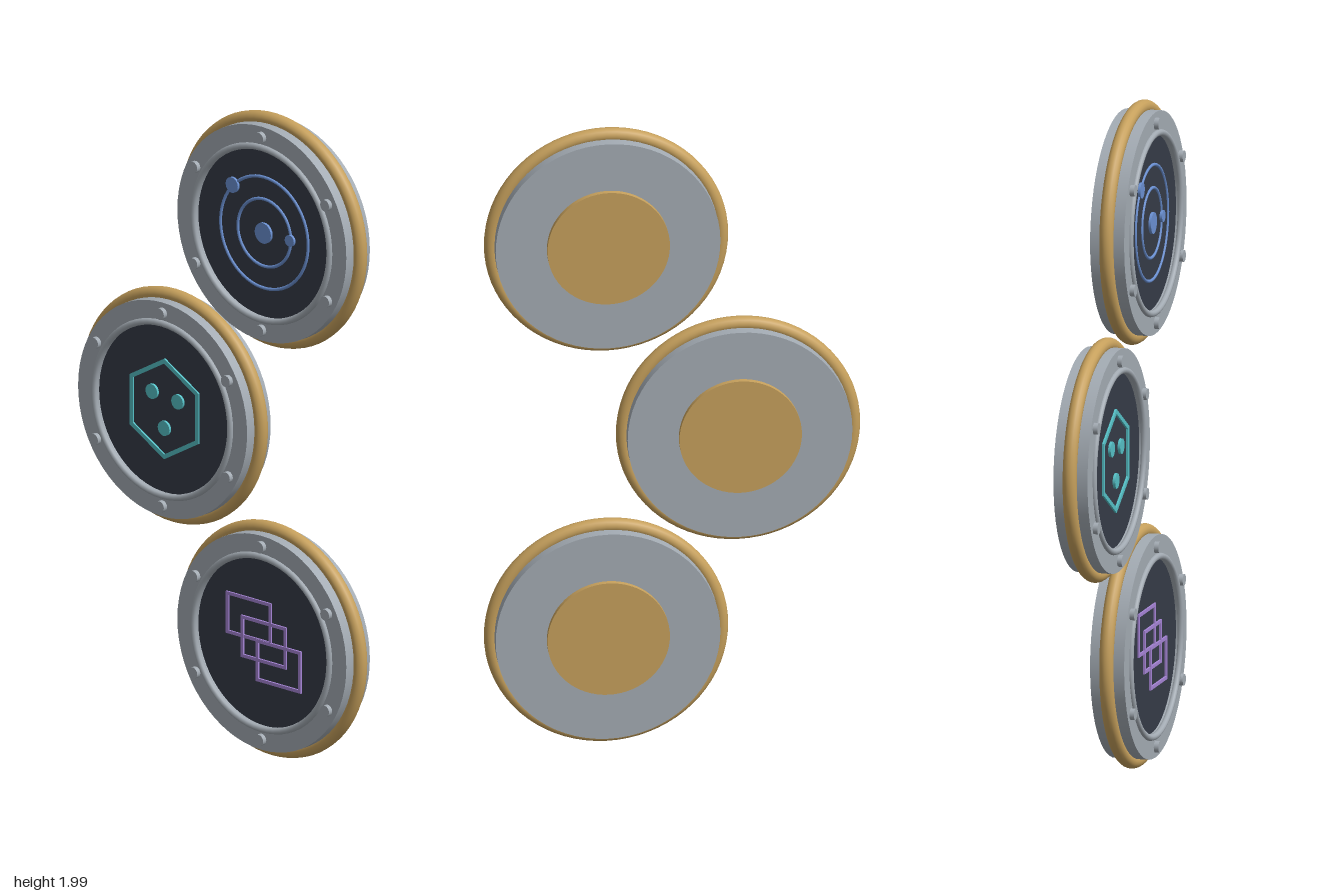
import * as THREE from 'three';
import { toCreasedNormals } from 'three/addons/utils/BufferGeometryUtils.js';

const material = (name, color) => {
  const m = new THREE.MeshStandardMaterial({ color });
  m.name = name;
  return m;
};

export function createModel() {
  const steel = material('steel', 0xa3abb3);
  const brass = material('brass', 0xc6a05c);
  const slate = material('dark slate', 0x353b47);
  const blue = material('blue', 0x6a90d2);
  const teal = material('teal', 0x55c0c6);
  const violet = material('violet', 0xa684d6);

  const PANEL_Z = 0.04;
  const LINE = 0.006;

  const add = (parent, name, geometry, mat, x = 0, y = 0, z = 0) => {
    const mesh = new THREE.Mesh(geometry, mat);
    mesh.name = name;
    mesh.position.set(x, y, z);
    parent.add(mesh);
    return mesh;
  };

  // Cylinder whose axis points to the front
  const disc = (r, depth, sides = 64) =>
    new THREE.CylinderGeometry(r, r, depth, sides).rotateX(Math.PI / 2);

  // Thin plate with an outline and an optional hole
  const frame = (outer, inner) => {
    const shape = new THREE.Shape(outer);
    shape.holes.push(new THREE.Path(inner));
    return new THREE.ExtrudeGeometry(shape, { depth: LINE, bevelEnabled: false });
  };
  const rect = (w, h) => [[-w, -h], [w, -h], [w, h], [-w, h]]
    .map(([x, y]) => new THREE.Vector2(x / 2, y / 2));
  const hexagon = (r) => Array.from({ length: 6 }, (_, i) => {
    const a = Math.PI / 2 + i * Math.PI / 3;
    return new THREE.Vector2(r * Math.cos(a), r * Math.sin(a));
  });

  // Body: flat back, recessed front
  const profile = [[0, -0.052], [0.332, -0.052], [0.332, 0.052], [0.26, 0.052], [0.26, 0.034], [0, 0.034]]
    .map(([r, z]) => new THREE.Vector2(r, z));
  const bodyGeometry = toCreasedNormals(
    new THREE.LatheGeometry(profile, 64).rotateX(Math.PI / 2), 0.5);

  const makeMedallion = (name, x, y) => {
    const g = new THREE.Group();
    g.name = name;
    g.position.set(x, y, 0);
    add(g, 'body', bodyGeometry, steel);
    add(g, 'outerRim', new THREE.TorusGeometry(0.34, 0.021, 16, 72), brass);
    add(g, 'innerRim', new THREE.TorusGeometry(0.267, 0.01, 10, 64), steel, 0, 0, 0.052);
    add(g, 'panel', disc(0.261, 0.008), slate, 0, 0, PANEL_Z - 0.004);
    add(g, 'backPlate', disc(0.181, 0.018), brass, 0, 0, -0.059);
    for (let i = 0; i < 6; i++) {
      const a = Math.PI / 6 + i * Math.PI / 3;
      add(g, 'bolt', disc(0.0175, 0.016, 16), steel, 0.299 * Math.cos(a), 0.299 * Math.sin(a), 0.058);
    }
    return g;
  };
  const dot = (g, name, r, mat, x, y) =>
    add(g, name, disc(r, 0.008, 20), mat, x, y, PANEL_Z + 0.004);

  // Upper medallion: orbits
  const upper = makeMedallion('upperMedallion', 0.195, 1.638);
  for (const r of [0.104, 0.172]) {
    add(upper, 'orbit', new THREE.TorusGeometry(r, 0.005, 8, 64), blue, 0, 0, PANEL_Z);
  }
  dot(upper, 'sun', 0.032, blue, 0, 0);
  dot(upper, 'innerPlanet', 0.018, blue, 0.104, 0);
  dot(upper, 'outerPlanet', 0.024, blue, -0.122, 0.122);

  // Middle medallion: hexagon with three dots
  const middle = makeMedallion('middleMedallion', -0.195, 1.003);
  add(middle, 'hexagonOutline', frame(hexagon(0.156), hexagon(0.141)), teal, 0, 0, PANEL_Z);
  for (const [x, y] of [[-0.048, 0.044], [0.053, 0.034], [0, -0.06]]) {
    dot(middle, 'hexagonDot', 0.023, teal, x, y);
  }

  // Lower medallion: three stepped frames
  const lower = makeMedallion('lowerMedallion', 0.195, 0.368);
  for (let i = -1; i <= 1; i++) {
    add(lower, 'steppedFrame', frame(rect(0.178, 0.13), rect(0.158, 0.11)), violet,
      i * 0.059, -i * 0.061, PANEL_Z + i * 0.0008);
  }

  const model = new THREE.Group();
  model.name = 'medallions';
  model.add(upper, middle, lower);
  return model;
}
